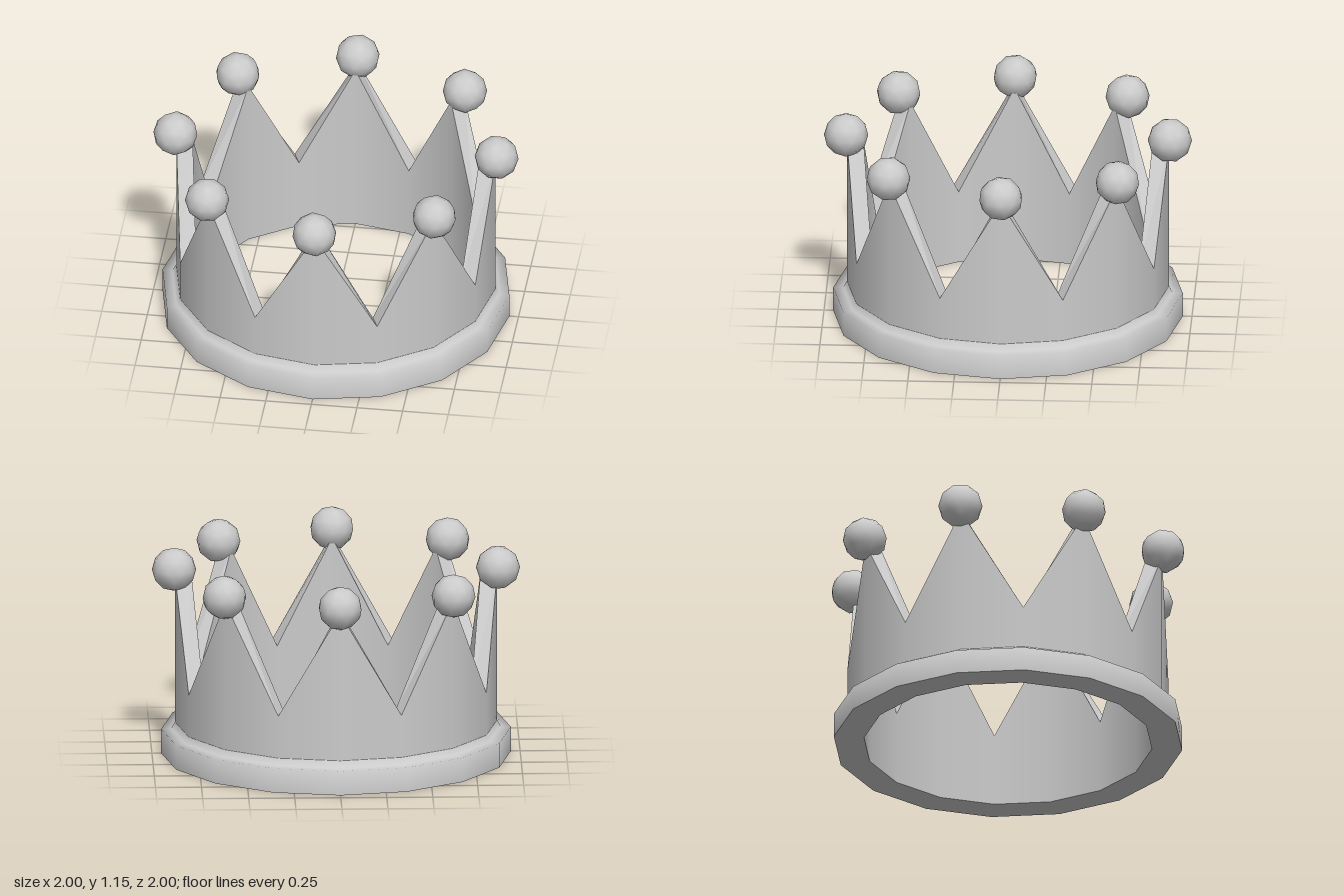
import * as THREE from 'three';

const PEAKS = 8, SIDES = PEAKS * 2;
const R_OUT = 0.875, R_IN = 0.785, R_BASE = 0.95;
const TIP_Y = 1.0, VALLEY_Y = 0.41;

// Sixteen-sided surface of revolution; points run upward on outward-facing walls
function band(points) {
  return new THREE.LatheGeometry(points.map(([r, y]) => new THREE.Vector2(r, y)), SIDES);
}

// Alternate the vertices at tip height between tips and valleys
function zigzag(geometry) {
  const pos = geometry.attributes.position;
  for (let i = 0; i < pos.count; i++) {
    if (pos.getY(i) < TIP_Y - 1e-4) continue;
    const step = Math.round(Math.atan2(pos.getX(i), pos.getZ(i)) / (2 * Math.PI / SIDES));
    pos.setY(i, step % 2 === 0 ? TIP_Y : VALLEY_Y);
  }
  return geometry;
}

function flat(geometry) {
  const g = geometry.toNonIndexed();
  g.computeVertexNormals();
  return g;
}

export function createModel() {
  const crown = new THREE.Group();
  crown.name = 'crown';
  const material = new THREE.MeshStandardMaterial({ color: 0xcccccc });
  const add = (name, geometry) => {
    const mesh = new THREE.Mesh(geometry, material);
    mesh.name = name;
    crown.add(mesh);
    return mesh;
  };

  // Base rim with a small fillet into the wall, and its flat underside
  add('baseRim', band([[R_BASE, 0], [R_BASE, 0.135], [0.895, 0.138], [R_OUT, 0.175]]));
  add('baseUnderside', band([[R_IN, 0], [R_BASE, 0]]));

  // Pointed wall: outside, inside and the sloping cut edges
  add('outerWall', zigzag(band([[R_OUT, 0.175], [R_OUT, TIP_Y]])));
  add('innerWall', zigzag(band([[R_IN, TIP_Y], [R_IN, 0]])));
  add('wallEdges', flat(zigzag(band([[R_OUT, TIP_Y], [R_IN, TIP_Y]]))));

  // A ball on every tip, with one ball vertex pointing straight up
  const ball = new THREE.IcosahedronGeometry(0.12, 1);
  ball.rotateZ(Math.atan(2 / (1 + Math.sqrt(5))));
  for (let i = 0; i < PEAKS; i++) {
    const angle = i * 2 * Math.PI / PEAKS;
    const mesh = add('tipBall' + (i + 1), ball);
    mesh.position.set(Math.sin(angle) * 0.88, 1.03, Math.cos(angle) * 0.88);
    mesh.rotation.y = angle;
  }
  return crown;
}
